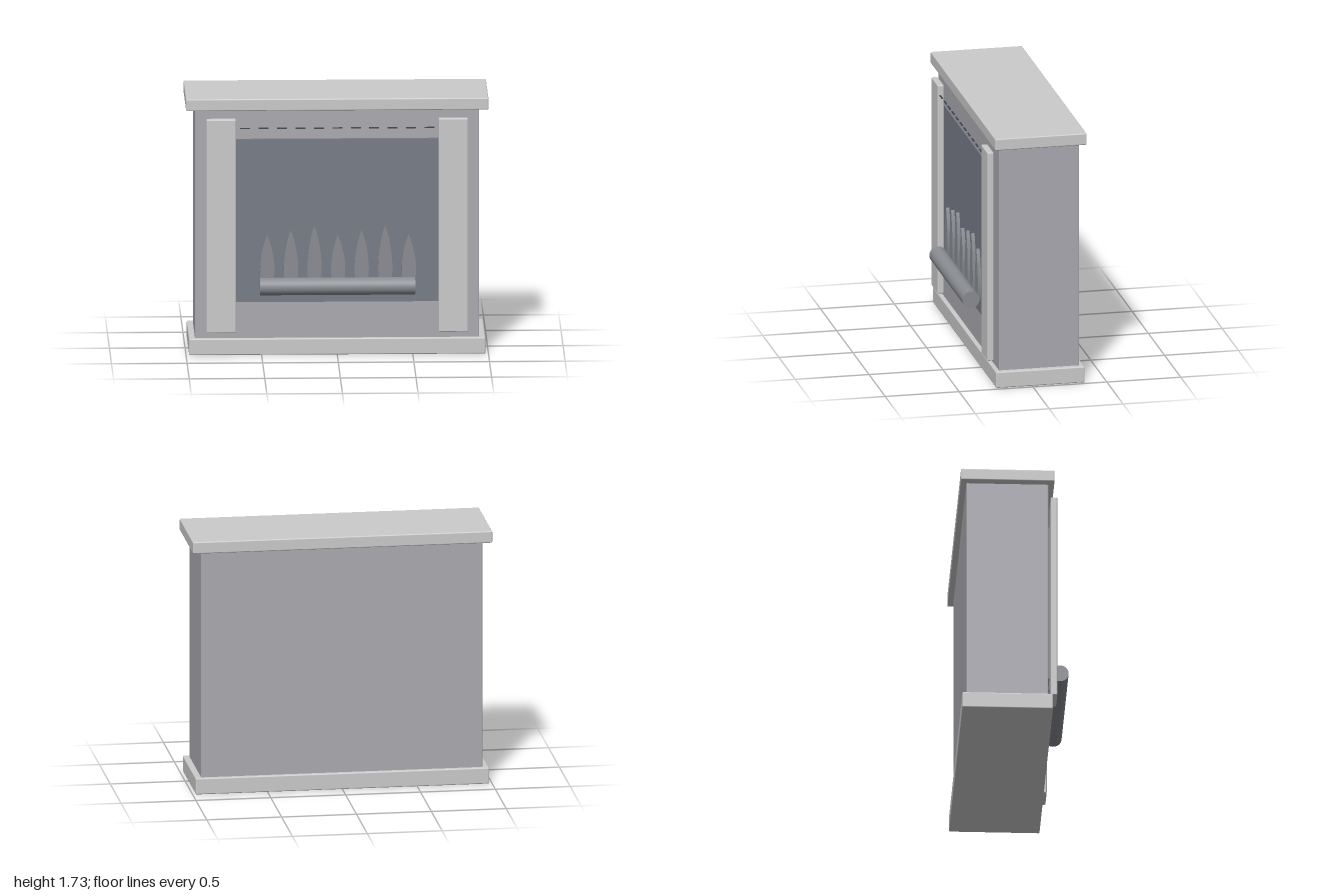
import * as THREE from 'three';
import { RoundedBoxGeometry } from 'three/addons/geometries/RoundedBoxGeometry.js';

const mat = (color) => new THREE.MeshStandardMaterial({ color });

export function createModel() {
  const group = new THREE.Group();
  const light = mat(0xcccccc);
  const wall = mat(0xaaaab1);
  const dark = mat(0x787d88);
  const fire = mat(0x8a8d93);
  const slitMat = mat(0x444850);

  const add = (name, geometry, material) => {
    const mesh = new THREE.Mesh(geometry, material);
    mesh.name = name;
    group.add(mesh);
    return mesh;
  };

  // Box given by its limits on each axis, with softened edges
  const block = (name, material, [x0, x1], [y0, y1], [z0, z1], radius = 0.008) => {
    const size = [x1 - x0, y1 - y0, z1 - z0];
    const geometry = radius > 0
      ? new RoundedBoxGeometry(...size, 3, radius)
      : new THREE.BoxGeometry(...size);
    add(name, geometry, material)
      .position.set((x0 + x1) / 2, (y0 + y1) / 2, (z0 + z1) / 2);
  };

  // Surround: plinth, body and mantel shelf
  block('base', light, [-0.98, 0.98], [0, 0.11], [-0.355, 0.245]);
  block('body', wall, [-0.94, 0.94], [0.09, 1.67], [-0.327, 0.217]);
  block('mantelShelf', light, [-1, 1], [1.65, 1.73], [-0.365, 0.255]);

  // Dark firebox panel
  block('fireboxPanel', dark, [-0.69, 0.69], [0.355, 1.455], [0.205, 0.235], 0);

  // Pilasters on both sides
  block('leftPilaster', light, [0.67, 0.865], [0.155, 1.597], [0.235, 0.279]);
  block('rightPilaster', light, [-0.865, -0.67], [0.155, 1.597], [0.235, 0.279]);

  // Row of vent slits above the firebox
  for (let i = 0; i < 11; i++) {
    const x = (i - 5) * 0.122;
    block('ventSlit', slitMat, [x - 0.033, x + 0.033], [1.531, 1.539], [0.263, 0.271], 0);
  }

  // Log
  const log = add('log', new THREE.CylinderGeometry(0.058, 0.058, 1.026, 32), fire);
  log.rotation.z = Math.PI / 2;
  log.position.set(0, 0.476, 0.312);

  // Flames: pointed leaf outlines in three repeating heights
  const heights = [0.815, 0.845, 0.875];
  for (let i = 0; i < 7; i++) {
    const bottom = 0.44;
    const tip = heights[i % 3];
    const shape = new THREE.Shape();
    shape.moveTo(0, tip);
    shape.bezierCurveTo(-0.035, tip - 0.08, -0.055, 0.62, -0.044, 0.53);
    shape.quadraticCurveTo(-0.038, 0.47, -0.02, bottom);
    shape.lineTo(0.02, bottom);
    shape.quadraticCurveTo(0.038, 0.47, 0.044, 0.53);
    shape.bezierCurveTo(0.055, 0.62, 0.035, tip - 0.08, 0, tip);
    const geometry = new THREE.ExtrudeGeometry(shape, {
      depth: 0.022, bevelEnabled: false, curveSegments: 10,
    });
    add('flame', geometry, fire).position.set((i - 3) * 0.156 + 0.005, 0, 0.246);
  }

  return group;
}
